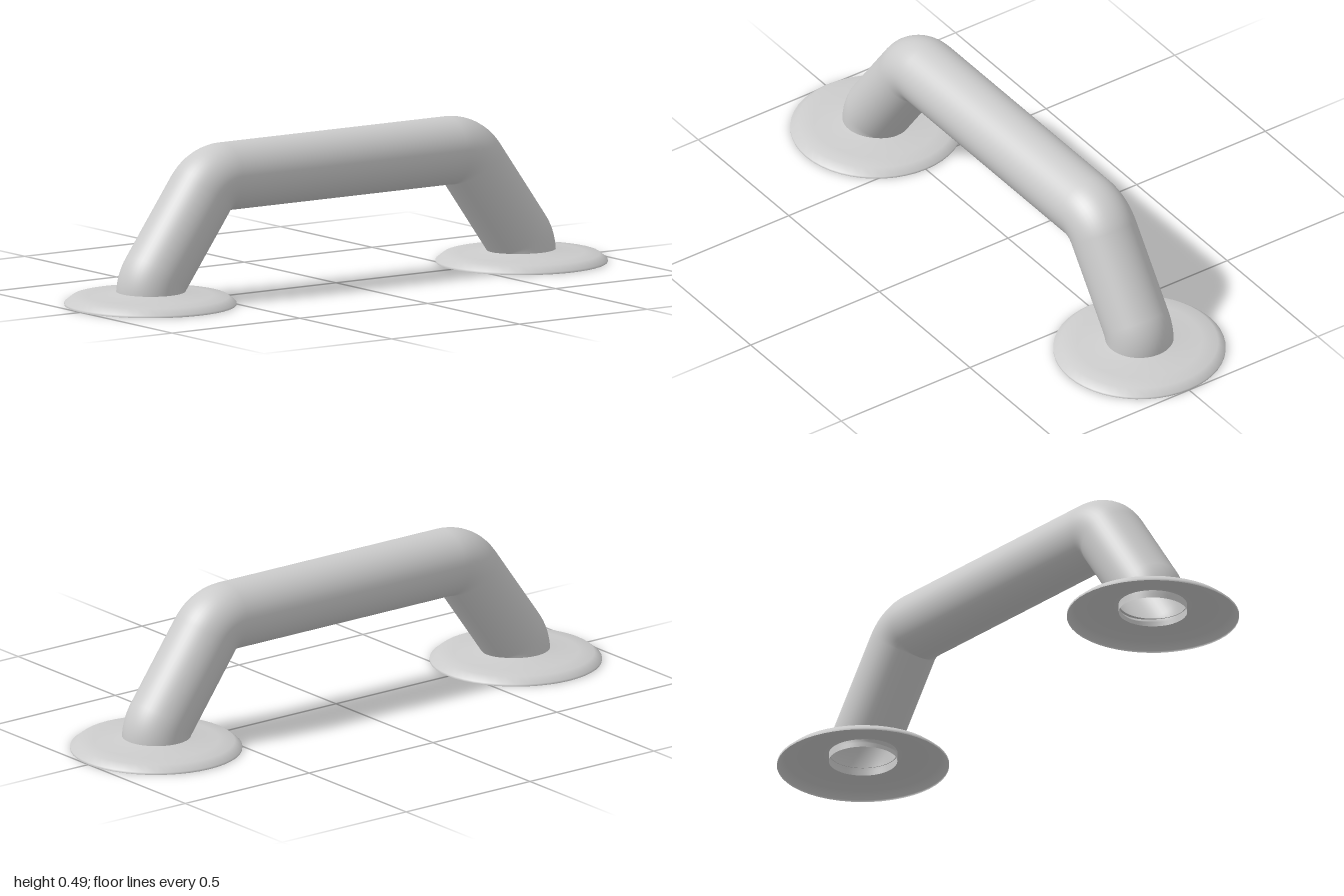
import * as THREE from 'three';

const R = 0.109;          // tube radius, also the centre-line bend radius
const FOOT_Z = 0.726;
const SIDES = 48;

const material = new THREE.MeshStandardMaterial({ color: 0xcccccc, side: THREE.DoubleSide });

// Bent tube: each bend pivots about its inner corner, rings sweep around it
function barGeometry() {
  const lean = Math.atan2(0.177, 0.246);
  const q = Math.PI / 2;
  const foot = FOOT_Z - R;
  // [corner y, corner z, start angle, end angle]
  const bends = [
    [0.03, foot, 0, lean],
    [0.276, 0.44, lean, q],
    [0.276, -0.44, q, Math.PI - lean],
    [0.03, -foot, Math.PI - lean, Math.PI],
  ];
  const rings = [[0.016, foot, 0]];
  for (const [y, z, a0, a1] of bends) {
    for (let i = 0; i <= 10; i++) rings.push([y, z, a0 + (a1 - a0) * i / 10]);
  }
  rings.push([0.016, -foot, Math.PI]);

  const pos = [], nor = [], idx = [];
  rings.forEach(([y, z, a], r) => {
    const s = Math.sin(a), c = Math.cos(a);
    for (let j = 0; j <= SIDES; j++) {
      const t = j / SIDES * Math.PI * 2;
      const n = [Math.sin(t), Math.cos(t) * s, Math.cos(t) * c];
      nor.push(...n);
      pos.push(R * n[0], y + R * (s + n[1]), z + R * (c + n[2]));
      if (r > 0 && j < SIDES) {
        const b = r * (SIDES + 1) + j, p = b - SIDES - 1;
        idx.push(p, p + 1, b, p + 1, b + 1, b);
      }
    }
  });
  const g = new THREE.BufferGeometry();
  g.setAttribute('position', new THREE.Float32BufferAttribute(pos, 3));
  g.setAttribute('normal', new THREE.Float32BufferAttribute(nor, 3));
  g.setIndex(idx);
  return g;
}

// Thin hollow mounting plate with a bevelled rim and a shallow cone
function flangeGeometry() {
  const profile = [
    [0.274, 0], [0.274, 0.007], [0.25, 0.026],
    [0.2, 0.03], [0.14, 0.036], [0.107, 0.042],
  ].map(([x, y]) => new THREE.Vector2(x, y));
  return new THREE.LatheGeometry(profile, SIDES);
}

export function createModel() {
  const model = new THREE.Group();
  model.name = 'grabHandle';

  const bar = new THREE.Mesh(barGeometry(), material);
  bar.name = 'bentBar';
  model.add(bar);

  const flange = flangeGeometry();
  for (const side of [1, -1]) {
    const plate = new THREE.Mesh(flange, material);
    plate.name = side > 0 ? 'frontFlange' : 'backFlange';
    plate.position.z = side * FOOT_Z;
    model.add(plate);
  }
  return model;
}
